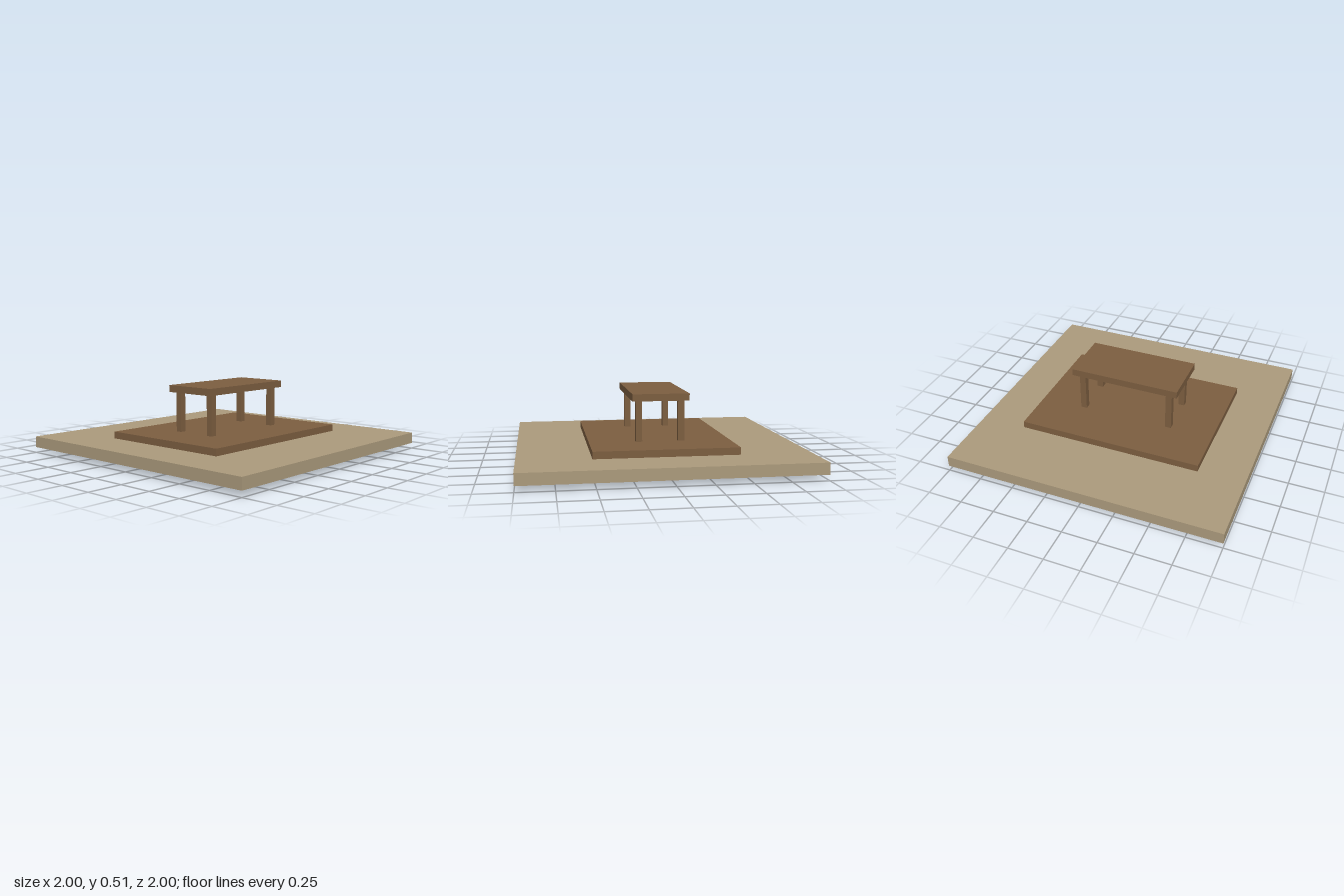
import * as THREE from 'three';

export function createModel() {
  const model = new THREE.Group();
  const wood = new THREE.MeshStandardMaterial({ color: 0x7c5e40 });
  wood.name = 'brown wood';
  const sand = new THREE.MeshStandardMaterial({ color: 0xab9a7c });
  sand.name = 'tan ground';

  // Box spanning bottom..top in height, centred on x, z
  function addBox(parent, name, material, width, depth, bottom, top, x = 0, z = 0) {
    const mesh = new THREE.Mesh(new THREE.BoxGeometry(width, top - bottom, depth), material);
    mesh.name = name;
    mesh.position.set(x, (bottom + top) / 2, z);
    parent.add(mesh);
  }

  // Ground slab with a thicker deck passing through it
  addBox(model, 'groundSlab', sand, 2, 2, 0.04, 0.12);
  addBox(model, 'deck', wood, 1.333, 1, 0, 0.17);

  // Table: top and four square legs
  const table = new THREE.Group();
  table.name = 'table';
  addBox(table, 'tableTop', wood, 0.8, 0.4, 0.46, 0.51);
  for (const [side, x] of [['Left', 0.333], ['Right', -0.333]]) {
    for (const [end, z] of [['front', 0.15], ['back', -0.15]]) {
      addBox(table, `${end}${side}Leg`, wood, 0.045, 0.045, 0.17, 0.46, x, z);
    }
  }
  model.add(table);

  return model;
}
